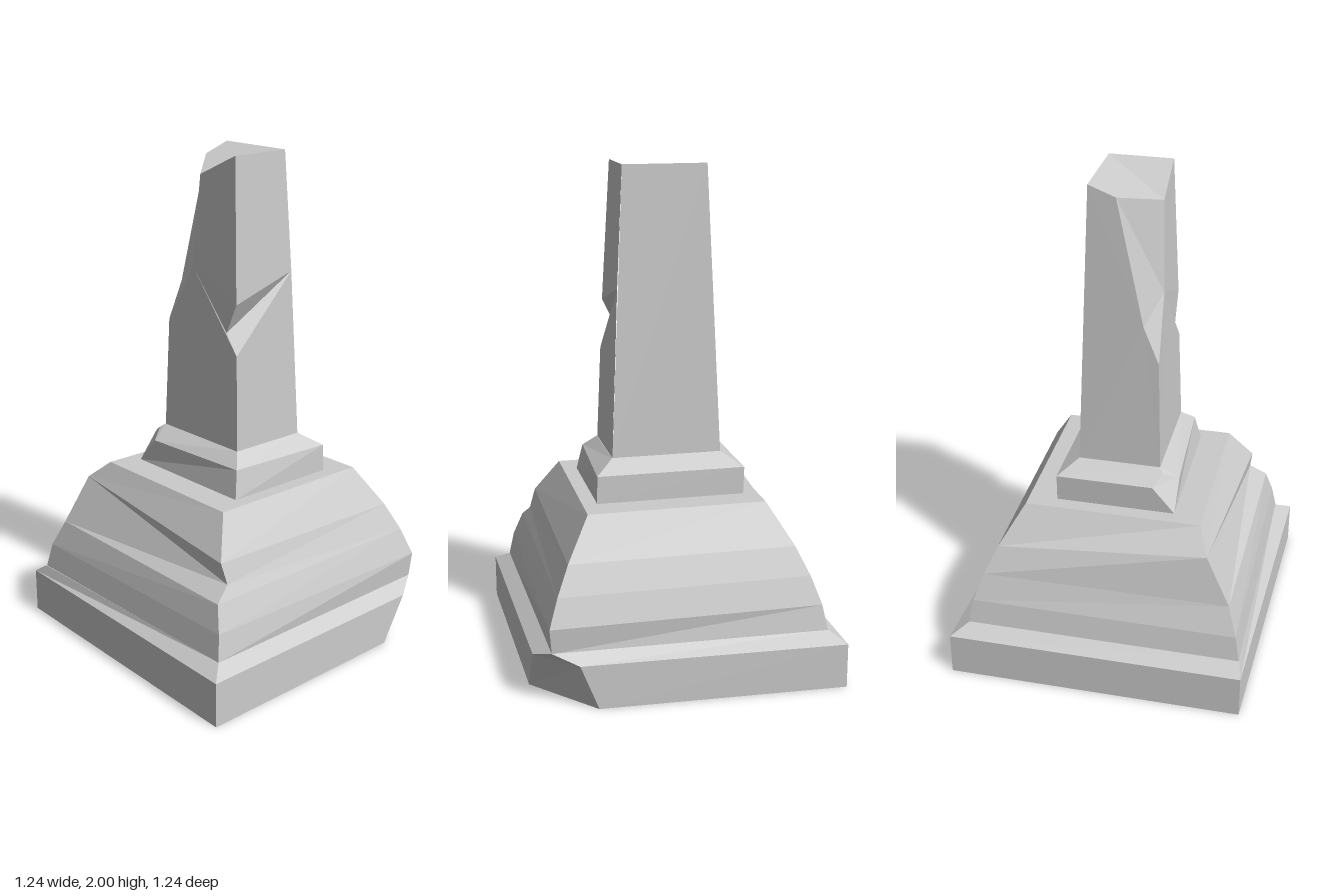
import * as THREE from 'three';

const material = new THREE.MeshStandardMaterial({ color: 0xcccccc, flatShading: true });

// Flat-faced mesh from polygons (each fanned from its first corner)
function facets(name, polygons) {
  const pos = [];
  for (const p of polygons)
    for (let i = 1; i < p.length - 1; i++) pos.push(...p[0], ...p[i], ...p[i + 1]);
  const geo = new THREE.BufferGeometry();
  geo.setAttribute('position', new THREE.Float32BufferAttribute(pos, 3));
  geo.computeVertexNormals();
  const mesh = new THREE.Mesh(geo, material);
  mesh.name = name;
  return mesh;
}

// Corner order: front -x, front +x, back +x, back -x
const ring = (y, x, z = x) => [[-x, y, z], [x, y, z], [x, y, -z], [-x, y, -z]];

// Side faces between a lower and an upper ring
function band(a, b, skip = []) {
  const out = [];
  a.forEach((_, i) => {
    const j = (i + 1) % a.length;
    if (!skip.includes(i)) out.push([a[i], a[j], b[j], b[i]]);
  });
  return out;
}

// Skewed plinth with its front +x corner broken off
function plinth() {
  const bottom = [[-0.62, 0, 0.615], [0.32, 0, 0.593], [0.585, 0, 0.36], [0.62, 0, -0.62], [-0.575, 0, -0.62]];
  const rim = [[-0.62, 0.18, 0.615], [0.43, 0.18, 0.59], [0.58, 0.18, 0.43], [0.62, 0.18, -0.62], [-0.575, 0.18, -0.62]];
  const chip = [0.53, 0.22, 0.53];
  const top = [[-0.555, 0.22, 0.555], chip, chip, [0.555, 0.22, -0.56], [-0.56, 0.22, -0.56]];
  return facets('plinth', [[...bottom].reverse(), ...band(bottom, rim), ...band(rim, top), top]);
}

// Four-sided curved dome, dented along its -x side
function dome() {
  const rings = [[0.22, 0.557], [0.32, 0.538], [0.43, 0.5], [0.54, 0.45], [0.7, 0.355]].map(([y, r]) => ring(y, r));
  rings[0][1] = [0.53, 0.22, 0.53];
  const [, , low, high] = rings;
  low[0] = [-0.51, 0.42, 0.5];
  high[0] = [-0.45, 0.55, 0.45];
  low[3] = [-0.5, 0.43, -0.49];
  high[3] = [-0.4, 0.62, -0.45];
  const notch = [-0.44, 0.47, 0.475];
  const faces = [rings[4]];
  for (let i = 0; i < 4; i++) faces.push(...band(rings[i], rings[i + 1], i === 2 ? [0, 3] : []));
  faces.push(
    [notch, low[0], low[1], high[1], high[0]],
    [notch, high[0], high[3], low[3], low[0]]);
  return facets('dome', faces);
}

// Bevelled collar with a chipped back -x corner
function collar() {
  const b = ring(0.7, 0.24, 0.297);
  const bottom = [...b, b[3]];
  const rim = [[-0.215, 0.81, 0.275], [0.238, 0.81, 0.295], [0.24, 0.81, -0.3], [-0.15, 0.81, -0.3], [-0.24, 0.81, -0.2]];
  const top = ring(0.86, 0.165, 0.222);
  const chip = [-0.18, 0.845, -0.24];
  return facets('collar', [
    ...band(bottom, rim),
    [rim[0], rim[1], top[1], top[0]],
    [rim[1], rim[2], top[2], top[1]],
    [rim[2], rim[3], chip, top[3], top[2]],
    [rim[3], rim[4], chip],
    [rim[4], rim[0], top[0], top[3], chip],
    top]);
}

// Tapered shaft: broken top, chipped back corner, notched front corner
function shaft() {
  const [fl, fr, br, bl] = ring(0.86, 0.165, 0.22);
  const [tfl, tfr, tbr] = ring(2, 0.127, 0.167);
  // front notch
  const over = [-0.148, 1.44, 0.197], under = [-0.153, 1.24, 0.205];
  const notch = [-0.147, 1.32, 0.14], crease = [0.145, 1.53, 0.192];
  // back chip
  const topLeft = [-0.13, 1.91, -0.03], topBack = [0.02, 1.96, -0.17];
  const midLeft = [-0.142, 1.55, -0.065], midBack = [-0.09, 1.46, -0.197], tip = [-0.152, 1.31, -0.203];
  return facets('shaft', [
    [fr, br, tbr, tfr],
    [fl, fr, crease, under], [under, crease, notch], [notch, crease, over], [over, crease, tfr, tfl],
    [midLeft, tip, bl, fl, under, notch, over, tfl, topLeft],
    [midBack, topBack, tbr, br, bl, tip],
    [topBack, midBack, midLeft, topLeft], [midBack, tip, midLeft],
    [tfl, tfr, topLeft], [tfr, tbr, topBack, topLeft]]);
}

export function createModel() {
  const group = new THREE.Group();
  group.name = 'brokenObelisk';
  group.add(plinth(), dome(), collar(), shaft());
  return group;
}
